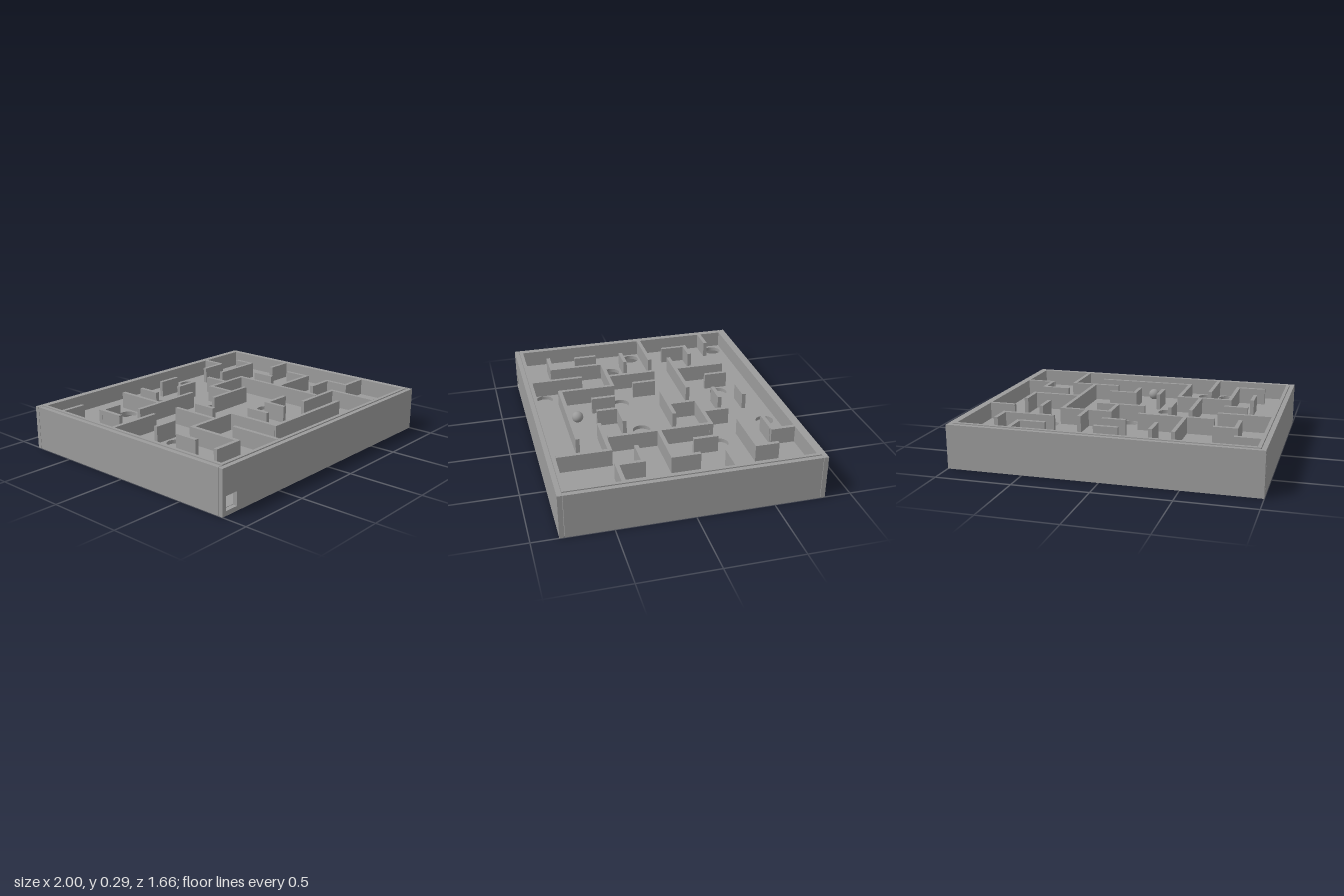
import * as THREE from 'three';

const material = new THREE.MeshStandardMaterial({ color: 0x9b9b9b });
const OUTER = 0.29, TOP = 0.295, FLOOR = 0.185, WALL = 0.026;

// Walls along x: [x start, x end, z]
const wallsX = [
  [-0.945, -0.78, -0.61], [-0.06, 0.10, -0.61], [0.415, 0.585, -0.622],
  [-0.78, -0.62, -0.435], [-0.06, 0.10, -0.435], [0.415, 0.775, -0.457],
  [-0.60, -0.095, -0.265], [0.085, 0.44, -0.265], [0.77, 0.945, -0.262],
  [-0.945, -0.595, -0.12], [-0.09, 0.245, -0.073], [-0.765, -0.605, 0.065],
  [0.43, 0.773, 0.082], [-0.628, -0.245, 0.237], [0.065, 0.26, 0.267],
  [0.573, 0.773, 0.267], [0.745, 0.945, 0.43], [0.245, 0.598, 0.435],
  [-0.81, -0.603, 0.605], [-0.27, 0.413, 0.605],
];
// Walls along z: [x, z start, z end]
const wallsZ = [
  [0.595, -0.775, -0.612], [-0.765, -0.435, -0.255], [-0.41, -0.62, -0.265],
  [-0.262, -0.60, -0.44], [0.762, -0.60, -0.457], [0.255, -0.44, -0.265],
  [0.10, -0.265, -0.073], [0.425, -0.265, 0.415], [0.585, -0.26, -0.10],
  [0.76, -0.093, 0.082], [-0.41, -0.105, 0.237], [-0.26, -0.07, 0.09],
  [-0.615, 0.237, 0.605], [-0.258, 0.237, 0.605], [-0.765, 0.255, 0.415],
  [-0.10, 0.255, 0.415], [0.075, 0.255, 0.415], [0.76, 0.255, 0.43],
  [0.585, 0.43, 0.77], [-0.44, 0.42, 0.77],
];
// Pit centres in the board: [x, z]
const pits = [
  [-0.86, -0.695], [-0.5, -0.485], [-0.18, -0.52], [0.297, -0.69], [0.508, -0.30],
  [0.005, -0.145], [-0.868, -0.035], [-0.68, 0.155], [-0.175, 0.198], [0.214, 0.142],
  [0.847, 0.345], [-0.517, 0.703], [-0.365, 0.703],
];

function add(parent, name, geometry) {
  const mesh = new THREE.Mesh(geometry, material);
  mesh.name = name;
  parent.add(mesh);
  return mesh;
}

// Box given by its limits on each axis
function box(parent, name, x0, x1, y0, y1, z0, z1) {
  const mesh = add(parent, name, new THREE.BoxGeometry(x1 - x0, y1 - y0, z1 - z0));
  mesh.position.set((x0 + x1) / 2, (y0 + y1) / 2, (z0 + z1) / 2);
}

function rectangle(PathType, x0, x1, y0, y1) {
  return new PathType([[x0, y0], [x1, y0], [x1, y1], [x0, y1]].map(p => new THREE.Vector2(...p)));
}

export function createModel() {
  const model = new THREE.Group();
  model.name = 'marbleMaze';

  // Outer case with fine seams between its panels, and the marble exit in the front
  box(model, 'base', -0.966, 0.966, 0.004, 0.03, -0.796, 0.796);
  box(model, 'backPanel', -1, 1, 0, OUTER, -0.83, -0.8);
  box(model, 'rightPanel', -1, -0.97, 0, OUTER, -0.797, 0.797);
  box(model, 'leftPanel', 0.97, 1, 0, OUTER, -0.797, 0.797);
  const front = rectangle(THREE.Shape, -1, 1, 0, OUTER);
  front.holes.push(rectangle(THREE.Path, -0.97, -0.88, 0.03, 0.12));
  add(model, 'frontPanel', new THREE.ExtrudeGeometry(front, { depth: 0.03, bevelEnabled: false }))
    .position.z = 0.8;

  // Inner rim, and the rails that carry the board
  box(model, 'rightRim', -0.967, -0.945, FLOOR, TOP, -0.797, 0.797);
  box(model, 'leftRim', 0.945, 0.967, FLOOR, TOP, -0.797, 0.797);
  box(model, 'backRim', -0.945, 0.945, FLOOR, TOP, -0.797, -0.773);
  box(model, 'frontRim', -0.945, 0.945, FLOOR, TOP, 0.773, 0.797);
  box(model, 'rightRail', -0.97, -0.945, 0.03, FLOOR, -0.8, 0.6);
  box(model, 'leftRail', 0.945, 0.97, 0.03, FLOOR, -0.8, 0.6);

  // Maze board with round pits
  const board = rectangle(THREE.Shape, -0.945, 0.945, -0.8, 0.8);
  for (const [x, z] of pits) board.holes.push(new THREE.Path().absarc(x, z, 0.059, 0, Math.PI * 2, true));
  const boardMesh = add(model, 'board',
    new THREE.ExtrudeGeometry(board, { depth: 0.025, bevelEnabled: false, curveSegments: 32 }));
  boardMesh.rotation.x = Math.PI / 2;
  boardMesh.position.y = FLOOR;

  // Maze walls
  const maze = new THREE.Group();
  maze.name = 'mazeWalls';
  model.add(maze);
  const h = WALL / 2;
  for (const [x0, x1, z] of wallsX) box(maze, 'wall', x0, x1, FLOOR, TOP, z - h, z + h);
  for (const [x, z0, z1] of wallsZ) box(maze, 'wall', x - h, x + h, FLOOR, TOP, z0, z1);

  // Marble resting on the board
  add(model, 'marble', new THREE.SphereGeometry(0.038, 32, 20)).position.set(0, FLOOR + 0.038, 0.532);

  return model;
}
